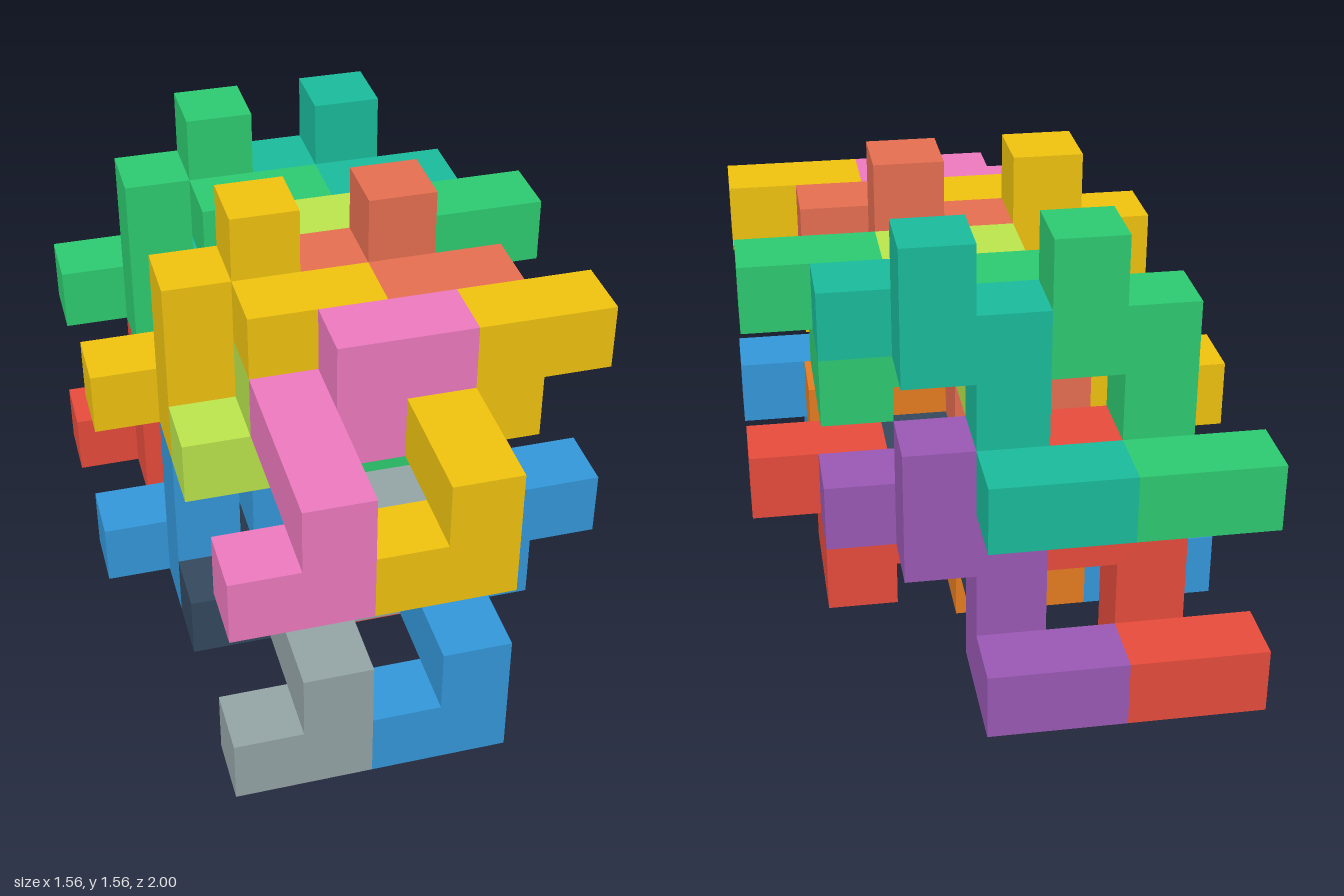
import * as THREE from 'three';
import { mergeGeometries } from 'three/addons/utils/BufferGeometryUtils.js';

const U = 2 / 9; // edge of one cube

// Nine-cube block: [across, offset, along], starting from the first cube of its bar
const BLOCK = [
  [0, 0, 0], [0, 0, 1], [0, 0, 2],   // straight bar
  [0, -1, 0], [-1, -1, 0],           // hooked foot
  [1, 0, 2], [1, 0, 3],              // side step and tip
  [1, 1, 2], [2, 1, 2],              // hooked arm
];

// Two poses: bar lying towards the back, or bar standing up
const POSES = {
  lying: ([a, b, c]) => [a, b, -c],
  standing: ([a, b, c]) => [a, c, b],
};

// name, pose, grid position of the bar's first cube, lower colour, upper colour
const PIECES = [
  ['frontLeftBlock', 'lying', [4, 1, 8], 0x3498db, 0xf1c40f],
  ['frontRightBlock', 'lying', [2, 1, 8], 0x95a5a6, 0xee7ac0],
  ['middleLeftBlock', 'lying', [4, 1, 5], 0xe74c3c, 0x2ecc71],
  ['middleRightBlock', 'lying', [2, 1, 5], 0x34495e, 0xbbe64d],
  ['centreLeftPost', 'standing', [3, 0, 4], 0xe67e22, 0xe76f51],
  ['centreRightPost', 'standing', [1, 0, 4], 0x3498db, 0xf1c40f],
  ['backLeftPost', 'standing', [3, 0, 1], 0x9b59b6, 0x1abc9c],
  ['backRightPost', 'standing', [1, 0, 1], 0xe74c3c, 0x2ecc71],
];

// The six cube sides: outward direction and the turn that faces a plane that way
const H = Math.PI / 2;
const SIDES = [
  [[0, 0, 1], 0, 0], [[0, 0, -1], 0, 2 * H],
  [[1, 0, 0], 0, H], [[-1, 0, 0], 0, -H],
  [[0, 1, 0], -H, 0], [[0, -1, 0], H, 0],
];

// Outer skin of a set of cubes: a square wherever a cube has no neighbour
function skin(cells) {
  const filled = new Set(cells.map(String));
  const squares = [];
  for (const cell of cells) {
    for (const [dir, rx, ry] of SIDES) {
      if (filled.has(String(cell.map((v, n) => v + dir[n])))) continue;
      const [x, y, z] = cell.map((v, n) => v + dir[n] / 2);
      const square = new THREE.PlaneGeometry(U, U);
      square.rotateX(rx).rotateY(ry);
      square.translate((x - 3) * U, (y + 0.5) * U, (z - 4) * U);
      squares.push(square);
    }
  }
  return mergeGeometries(squares);
}

export function createModel() {
  const model = new THREE.Group();
  model.name = 'interlockingBlocks';

  // The same layer twice; the upper one sits three cubes higher and interlocks
  ['lowerLayer', 'upperLayer'].forEach((layerName, level) => {
    const layer = new THREE.Group();
    layer.name = layerName;
    layer.position.y = level * 3 * U;
    for (const [name, pose, start, ...colors] of PIECES) {
      const cells = BLOCK.map((c) => POSES[pose](c).map((v, n) => v + start[n]));
      const material = new THREE.MeshStandardMaterial({ color: colors[level] });
      const mesh = new THREE.Mesh(skin(cells), material);
      mesh.name = name;
      layer.add(mesh);
    }
    model.add(layer);
  });
  return model;
}
